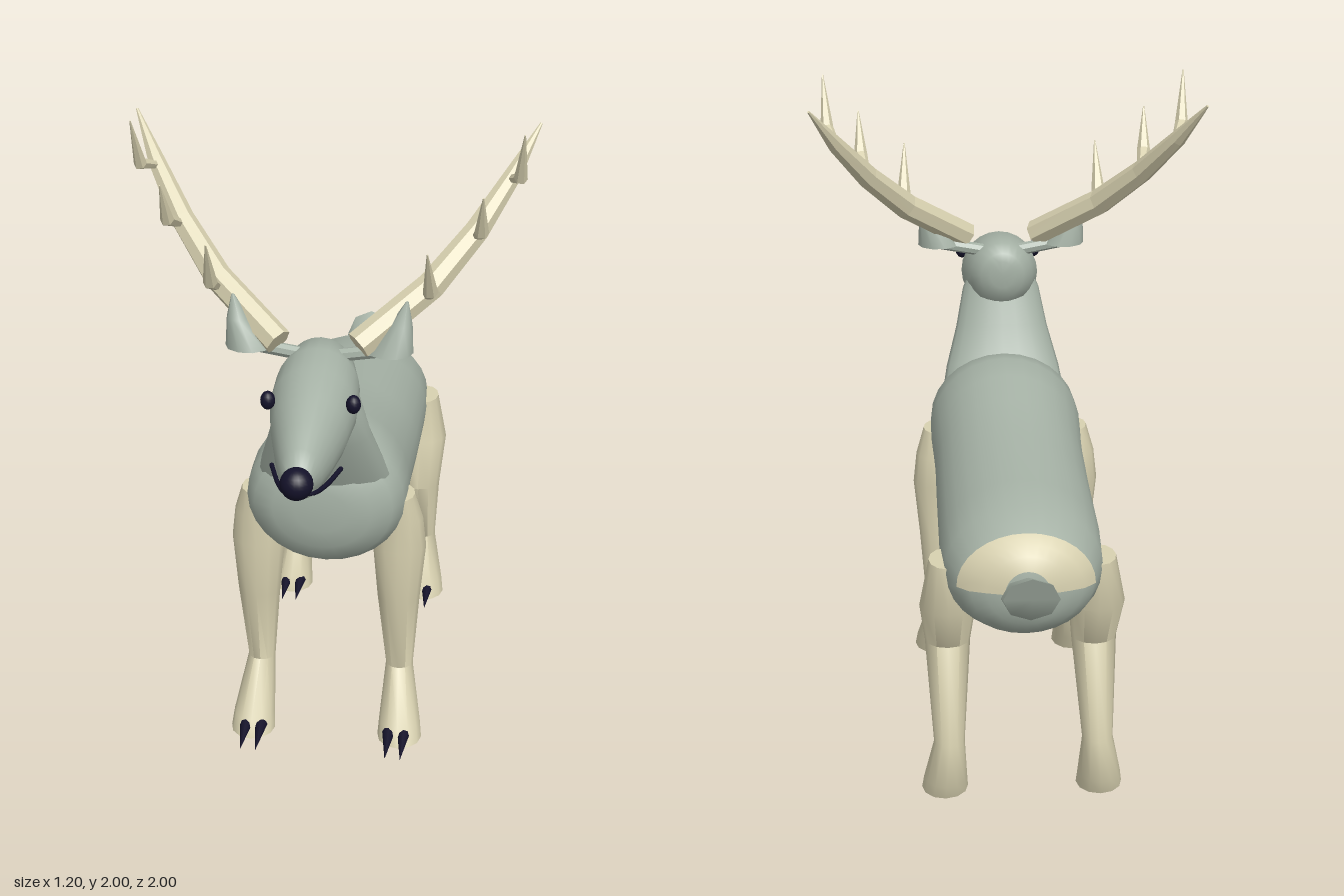
import * as THREE from 'three';
import { toCreasedNormals } from 'three/addons/utils/BufferGeometryUtils.js';

const V = (x, y, z) => new THREE.Vector3(x, y, z);

// Skin over rings { c, u, v }; u x v points along the direction of travel
function loft(rings, n, { crease = 0.9, arc = Math.PI * 2, caps = true } = {}) {
  const pos = [], idx = [], w = n + 1;
  for (const { c, u, v } of rings) {
    for (let j = 0; j <= n; j++) {
      const a = arc * j / n;
      const p = c.clone().addScaledVector(u, Math.cos(a)).addScaledVector(v, Math.sin(a));
      pos.push(p.x, p.y, p.z);
    }
  }
  for (let i = 0; i < rings.length - 1; i++) {
    for (let j = 0; j < n; j++) {
      const a = i * w + j, b = a + w;
      idx.push(a, a + 1, b, a + 1, b + 1, b);
    }
  }
  if (caps) {
    const last = rings.length - 1, k = pos.length / 3;
    pos.push(...rings[0].c.toArray(), ...rings[last].c.toArray());
    for (let j = 0; j < n; j++) {
      idx.push(k, j + 1, j, k + 1, last * w + j, last * w + j + 1);
    }
  }
  const g = new THREE.BufferGeometry();
  g.setAttribute('position', new THREE.Float32BufferAttribute(pos, 3));
  g.setIndex(idx);
  return toCreasedNormals(g, crease);
}

// Ring lying flat (tilt 0) or upright facing +z (tilt 90)
function ring(x, y, z, rx, r2, tilt = 0) {
  const t = THREE.MathUtils.degToRad(tilt);
  return { c: V(x, y, z), u: V(rx, 0, 0), v: V(0, Math.sin(t) * r2, Math.cos(t) * r2) };
}

// Upright ring from [z, top, bottom, half width]
const slice = ([z, top, bottom, w]) => ring(0, (top + bottom) / 2, z, w, (top - bottom) / 2, 90);

// Level ring from [y, x centre, x radius, front z, back z]
const level = ([y, x, rx, zf, zb]) => ring(x, y, (zf + zb) / 2, rx, (zf - zb) / 2);

// Faceted branch from points [x, y, z, radius]
function branch(points, n) {
  const p = points.map(([x, y, z]) => V(x, y, z));
  const rings = points.map(([, , , r], i) => {
    const t = p[Math.min(i + 1, p.length - 1)].clone().sub(p[Math.max(i - 1, 0)]).normalize();
    const u = V(1, 0, 0).addScaledVector(t, -t.x).normalize();
    return { c: p[i], u: u.clone().multiplyScalar(r), v: t.clone().cross(u).multiplyScalar(r) };
  });
  return loft(rings, n, { crease: 0.05 });
}

export function createModel() {
  const model = new THREE.Group();
  model.name = 'deer';
  const paint = (name, color) => {
    const m = new THREE.MeshStandardMaterial({ color });
    m.name = name;
    return m;
  };
  const coat = paint('greyCoat', 0xa5b1a5);
  const cream = paint('cream', 0xd8d1b0);
  const dark = paint('dark', 0x14122a);
  const add = (name, geometry, material, parent = model) => {
    const m = new THREE.Mesh(geometry, material);
    m.name = name;
    parent.add(m);
    return m;
  };

  // Body, rump to chest
  const bodySlices = [
    [-0.825, 0.83, 0.70, 0.06], [-0.81, 0.87, 0.66, 0.115], [-0.785, 0.895, 0.625, 0.16],
    [-0.75, 0.915, 0.60, 0.195], [-0.65, 0.955, 0.555, 0.232], [-0.5, 0.975, 0.54, 0.24],
    [-0.2, 0.99, 0.55, 0.238], [0, 1.03, 0.555, 0.236], [0.13, 1.06, 0.56, 0.24],
    [0.23, 1.08, 0.575, 0.245], [0.33, 1.06, 0.625, 0.24], [0.39, 1.03, 0.66, 0.21],
    [0.425, 0.97, 0.72, 0.15], [0.437, 0.91, 0.78, 0.08],
  ];
  add('body', loft(bodySlices.map(slice), 28, { crease: 1.3 }), coat);

  // Pale patch over the upper rump
  const patch = bodySlices.slice(0, 4).map(([z, t, b, w]) => slice([z - 0.004, t + 0.005, b - 0.005, w + 0.005]));
  add('rumpPatch', loft(patch, 16, { arc: Math.PI, caps: false, crease: 1.3 }), cream);

  // Tail, tip to root
  add('tail', loft([
    ring(0, 0.82, -0.972, 0.08, 0.082, 110),
    ring(0, 0.78, -0.88, 0.08, 0.072, 104),
    ring(0, 0.745, -0.79, 0.07, 0.06, 100),
  ], 8), coat);

  // Neck, head to shoulders
  add('neck', loft([
    ring(0, 1.30, 0.49, 0.10, 0.05, -20),
    ring(0, 1.24, 0.485, 0.125, 0.068, -20),
    ring(0, 1.12, 0.44, 0.15, 0.07, -22),
    ring(0, 1.00, 0.385, 0.185, 0.072, -25),
    ring(0, 0.90, 0.33, 0.205, 0.075, -28),
  ], 20), coat);

  // Head, nape to muzzle
  add('head', loft([
    [0.375, 1.36, 1.27, 0.04], [0.385, 1.385, 1.235, 0.07], [0.42, 1.41, 1.195, 0.10],
    [0.5, 1.41, 1.16, 0.122], [0.6, 1.395, 1.13, 0.125], [0.7, 1.36, 1.113, 0.108],
    [0.8, 1.32, 1.11, 0.083], [0.88, 1.28, 1.125, 0.06], [0.935, 1.25, 1.16, 0.042],
  ].map(slice), 24, { crease: 1.2 }), coat);
  add('nose', new THREE.SphereGeometry(0.046, 20, 14), dark).position.set(0, 1.21, 0.954);

  // Parts drawn once for the left and mirrored for the right
  for (const s of [1, -1]) {
    const side = s > 0 ? 'left' : 'right';
    const mirror = (rings) => rings.map((r) => {
      r.c.x *= s;
      return r;
    });
    const flip = (points) => points.map(([x, ...rest]) => [x * s, ...rest]);

    const eye = add(`${side}Eye`, new THREE.SphereGeometry(0.025, 14, 10), dark);
    eye.position.set(0.121 * s, 1.315, 0.66);
    eye.scale.set(0.85, 1.1, 0.9);

    const lip = new THREE.CatmullRomCurve3([
      V(0, 1.178, 0.94), V(0.035 * s, 1.162, 0.915), V(0.066 * s, 1.155, 0.85), V(0.098 * s, 1.162, 0.755),
    ]);
    add(`${side}Mouth`, new THREE.TubeGeometry(lip, 16, 0.007, 6), dark);

    // Ear: short stalk and a pointed cup, tip to base
    const ear = new THREE.Group();
    ear.name = `${side}Ear`;
    model.add(ear);
    add('earCup', loft(mirror([
      ring(0.25, 1.545, 0.45, 0.004, 0.004),
      ring(0.235, 1.48, 0.46, 0.032, 0.035),
      ring(0.205, 1.395, 0.468, 0.066, 0.058),
    ]), 10), coat, ear);
    add('earStalk', branch(flip([[0.06, 1.375, 0.46, 0.02], [0.2, 1.4, 0.465, 0.02]]), 8), coat, ear);

    // Antler: beam with three bent tines
    const antler = new THREE.Group();
    antler.name = `${side}Antler`;
    model.add(antler);
    add('beam', branch(flip([
      [0.115, 1.42, 0.49, 0.043], [0.31, 1.56, 0.36, 0.042], [0.43, 1.69, 0.245, 0.036],
      [0.525, 1.825, 0.13, 0.026], [0.598, 1.95, 0.03, 0.004],
    ]), 7), cream, antler);
    for (const tine of [
      [[0.3, 1.535, 0.38, 0.012], [0.315, 1.575, 0.445, 0.022], [0.31, 1.72, 0.53, 0.002]],
      [[0.43, 1.68, 0.26, 0.012], [0.45, 1.73, 0.365, 0.021], [0.455, 1.855, 0.428, 0.002]],
      [[0.52, 1.815, 0.14, 0.012], [0.55, 1.85, 0.235, 0.02], [0.56, 2.0, 0.303, 0.002]],
    ]) add('tine', branch(flip(tine), 6), cream, antler);

    // Legs, shoulder or hip down to the foot
    const legs = {
      Front: [
        [0.835, 0.225, 0.042, 0.32, 0.2], [0.75, 0.222, 0.07, 0.32, 0.18], [0.65, 0.22, 0.083, 0.318, 0.178],
        [0.47, 0.22, 0.066, 0.315, 0.198], [0.2, 0.222, 0.043, 0.255, 0.17],
        [0.05, 0.233, 0.065, 0.385, 0.235], [0, 0.235, 0.07, 0.41, 0.255],
      ],
      Hind: [
        [0.77, 0.225, 0.05, -0.525, -0.665], [0.62, 0.22, 0.084, -0.512, -0.67],
        [0.47, 0.22, 0.068, -0.46, -0.585], [0.2, 0.222, 0.046, -0.61, -0.705],
        [0.05, 0.233, 0.065, -0.53, -0.685], [0, 0.235, 0.07, -0.515, -0.665],
      ],
    };
    for (const [end, levels] of Object.entries(legs)) {
      const leg = new THREE.Group();
      leg.name = `${side}${end}Leg`;
      model.add(leg);
      add('leg', loft(mirror(levels.map(level)), 12), cream, leg);
      // Two pointed hooves
      const toe = levels[levels.length - 1][3];
      for (const dx of [-0.024, 0.024]) {
        const hoof = add('hoof', new THREE.ConeGeometry(0.02, 0.13, 8), dark, leg);
        hoof.position.set((0.228 + dx) * s, 0.026, toe + 0.025);
        hoof.rotation.x = Math.PI / 2 + 0.1;
      }
    }
  }
  return model;
}
